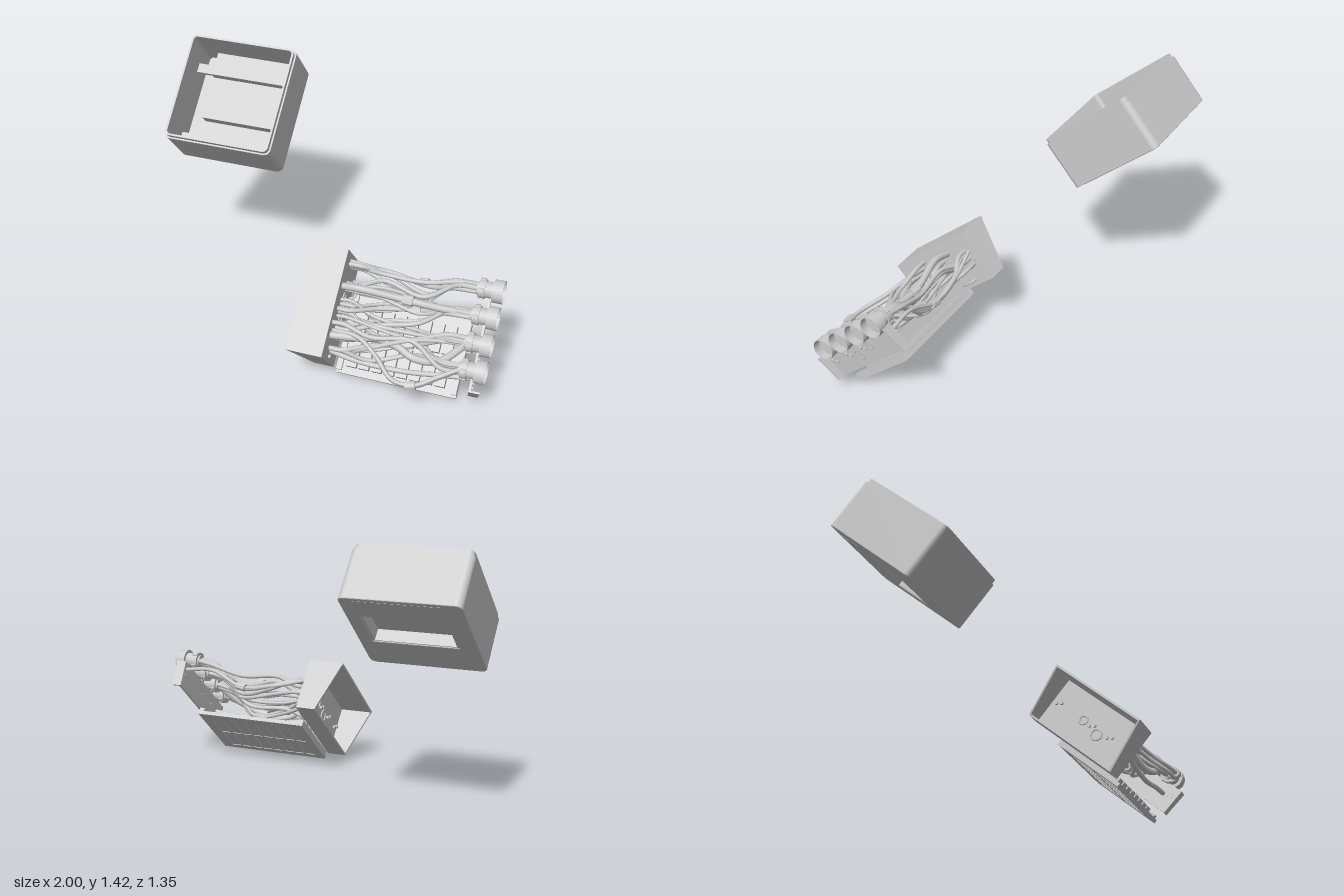
import * as THREE from 'three';

const mat = new THREE.MeshStandardMaterial({ color: 0xcccccc, side: THREE.DoubleSide });
const flat = new THREE.MeshStandardMaterial({ color: 0xcccccc, flatShading: true, side: THREE.DoubleSide });

function add(parent, name, geo, material = flat) {
  const m = new THREE.Mesh(geo, material);
  m.name = name;
  parent.add(m);
  return m;
}

const box = (x0, x1, y0, y1, z0, z1) =>
  new THREE.BoxGeometry(x1 - x0, y1 - y0, z1 - z0).translate((x0 + x1) / 2, (y0 + y1) / 2, (z0 + z1) / 2);

// Rounded rectangle outline
function roundRect(w, d, r, Type = THREE.Shape) {
  const s = new Type(), a = w / 2 - r, b = d / 2 - r;
  s.absarc(a, b, r, 0, Math.PI / 2);
  s.absarc(-a, b, r, Math.PI / 2, Math.PI);
  s.absarc(-a, -b, r, Math.PI, Math.PI * 1.5);
  s.absarc(a, -b, r, Math.PI * 1.5, Math.PI * 2);
  s.closePath();
  return s;
}

// Axis-aligned hole given by its limits
function rectHole(x0, x1, y0, y1) {
  const p = new THREE.Path();
  p.moveTo(x0, y0); p.lineTo(x0, y1); p.lineTo(x1, y1); p.lineTo(x1, y0); p.closePath();
  return p;
}

const poly = pts => new THREE.Shape(pts.map(p => new THREE.Vector2(...p)));
const extrude = (shape, depth, bevel = 0) => new THREE.ExtrudeGeometry(shape, {
  depth, curveSegments: 8, bevelEnabled: bevel > 0, bevelSize: bevel, bevelOffset: -bevel, bevelThickness: bevel, bevelSegments: 2,
});
// Extrude upwards from a plan outline
const slab = (shape, depth, x, y, z) => extrude(shape, depth).rotateX(-Math.PI / 2).translate(x, y, z);

function seeded(seed) {
  return () => (seed = (seed * 16807) % 2147483647) / 2147483647;
}

// Rounded housing, open on top
function createHousing() {
  const g = new THREE.Group();
  g.name = 'housing';
  const cx = -0.688, cz = -0.982, w = 0.624;

  const floor = roundRect(w, w, 0.035);
  floor.holes.push(rectHole(-0.212, 0.238, -0.092, 0.146));
  add(g, 'housingFloor', extrude(floor, 0.01, 0.005).rotateX(-Math.PI / 2).translate(cx, 0.455, cz));

  const wall = roundRect(w, w, 0.035);
  wall.holes.push(roundRect(0.584, 0.584, 0.022, THREE.Path));
  add(g, 'housingWall', slab(wall, 0.284, cx, 0.458, cz));
  const lip = roundRect(0.606, 0.606, 0.03);
  lip.holes.push(roundRect(0.584, 0.584, 0.022, THREE.Path));
  add(g, 'housingLip', slab(lip, 0.028, cx, 0.741, cz));

  // Raised hood over the window in the floor
  add(g, 'windowHood', box(-0.9, -0.45, 0.52, 0.53, -1.133, -0.885));
  for (const x of [-0.9, -0.46]) add(g, 'hoodSide', box(x, x + 0.01, 0.455, 0.53, -1.128, -0.89));
  for (const z of [-1.133, -0.895]) add(g, 'hoodEnd', box(-0.9, -0.45, 0.455, 0.53, z, z + 0.01));

  add(g, 'rearBlock', box(-0.9, -0.45, 0.449, 0.57, -1.27, -1.134));
  add(g, 'rearBar', box(-0.985, -0.395, 0.576, 0.6, -1.18, -1.126));
  add(g, 'frontBar', box(-0.985, -0.395, 0.535, 0.56, -0.772, -0.718));
  return g;
}

// Small ports and screws on an upright plate; each entry: [height, depth, radius, ring?]
function addPorts(parent, list, faceX, angle) {
  for (const [y, z, r, ring] of list) {
    const geo = ring ? new THREE.TorusGeometry(r, 0.005, 6, 20).rotateX(Math.PI / 2)
      : new THREE.CylinderGeometry(r, r, 0.022, 10);
    const m = add(parent, ring ? 'portRing' : 'screw', geo, ring ? mat : flat);
    m.position.set(faceX(y), y, z);
    m.rotation.z = angle;
  }
}

const screwPairs = depths => depths.flatMap(z => [-1, 1].map(s => [0.478 + s * 0.008, z + s * 0.013, 0.01, 0]));

// End shell: port plate facing the cables, tapered ends, top and bottom, open on the outer side
function createEndShell() {
  const g = new THREE.Group();
  g.name = 'endShell';
  add(g, 'shellTop', box(-0.047, 0.153, 0.614, 0.626, -0.278, 0.314));
  add(g, 'shellBottom', box(0.043, 0.153, 0.325, 0.335, -0.278, 0.314));
  add(g, 'portPlate', box(0.141, 0.153, 0.325, 0.626, -0.278, 0.314));
  for (const z of [-0.278, 0.304])
    add(g, 'shellEnd', extrude(poly([[-0.047, 0.626], [0.153, 0.626], [0.153, 0.325], [0.043, 0.325]]), 0.01).translate(0, 0, z));

  for (const x of [0.139, 0.155])
    addPorts(g, [[0.452, 0.07, 0.03, 1], [0.478, -0.045, 0.024, 1], ...screwPairs([0.143, 0.016, -0.228, 0.27])], () => x, Math.PI / 2);
  const handle = new THREE.CatmullRomCurve3([[0.145, -0.165], [0.178, -0.155], [0.178, -0.075], [0.145, -0.065]]
    .map(([x, z]) => new THREE.Vector3(x, 0.36, z)));
  add(g, 'handle', new THREE.TubeGeometry(handle, 16, 0.007, 6), mat);
  return g;
}

// Leaning plate below the connectors, with an end flap at each side
function createConnectorPlate() {
  const g = new THREE.Group();
  g.name = 'connectorPlate';
  add(g, 'plate', extrude(poly([[0.905, 0.38], [0.917, 0.38], [0.937, 0.54], [0.925, 0.54]]), 0.593).translate(0, 0, -0.28));
  for (const z of [-0.28, 0.303])
    add(g, 'endFlap', extrude(poly([[0.905, 0.38], [0.955, 0.38], [0.985, 0.54], [0.925, 0.54]]), 0.01).translate(0, 0, z));
  addPorts(g, [[0.452, 0.07, 0.03, 1], [0.478, -0.045, 0.024, 1], ...screwPairs([0.143, 0.016, -0.228, 0.27])],
    y => 0.915 + (y - 0.38) * 0.125, -1.695);
  return g;
}

// Round plug with a thin-walled hollow face
function createConnector(z) {
  const profile = [[0, 0.86], [0.035, 0.86], [0.035, 0.87], [0.05, 0.87], [0.05, 0.905], [0.043, 0.905], [0.043, 0.945],
    [0.061, 0.945], [0.061, 1], [0.059, 1], [0.059, 0.955], [0, 0.955]].map(p => new THREE.Vector2(...p));
  const g = new THREE.Group();
  g.name = 'connector';
  add(g, 'plug', new THREE.LatheGeometry(profile, 28).toNonIndexed().rotateZ(-Math.PI / 2));
  for (let i = 0; i < 4; i++)
    add(g, 'lug', box(0.872, 0.9, 0.044, 0.055, -0.012, 0.012).rotateX(i * Math.PI / 2 + 0.4));
  g.position.set(0, 0.577, z);
  return g;
}

// Board with two rows of slotted keys
function createKeyBoard() {
  const g = new THREE.Group();
  g.name = 'keyBoard';
  const plan = poly([[0.17, 0.1], [0.837, 0.1], [0.837, -0.335], [0.17, -0.335]]);
  for (const z of [0.04, 0.215])
    for (let i = 0; i < 8; i++) {
      const x = 0.25 + i * 0.07;
      plan.holes.push(rectHole(x - 0.029, x + 0.029, -z - 0.08, -z + 0.08));
      add(g, 'key', box(x - 0.028, x + 0.028, 0.298, 0.345, z - 0.079, z + 0.079));
    }
  add(g, 'board', slab(plan, 0.022, 0, 0.295, 0));
  for (const x of [0.17, 0.807]) add(g, 'sideRail', box(x, x + 0.03, 0.315, 0.335, -0.1, 0.32));
  return g;
}

// Cables swept through points, with an optional clamp at a fraction of the length
function addCable(parent, pts, r, clampAt) {
  const curve = new THREE.CatmullRomCurve3(pts.map(p => new THREE.Vector3(...p)));
  add(parent, 'cable', new THREE.TubeGeometry(curve, 36, r, 8), mat);
  if (clampAt === undefined) return;
  const m = add(parent, 'cableClamp', new THREE.CylinderGeometry(r + 0.012, r + 0.012, 0.055, 8));
  m.position.copy(curve.getPointAt(clampAt));
  m.quaternion.setFromUnitVectors(new THREE.Vector3(0, 1, 0), curve.getTangentAt(clampAt));
}

function createCables(plugZ) {
  const g = new THREE.Group();
  g.name = 'cables';
  const rnd = seeded(77), vary = a => (rnd() * 2 - 1) * a;
  plugZ.forEach((z, i) => {
    for (let k = 0; k < 6; k++) {
      const z0 = THREE.MathUtils.clamp(z + vary(0.24), -0.22, 0.24), y0 = 0.5 + vary(0.08);
      const dy = vary(0.015), dz = vary(0.02), mid = 0.47 + vary(0.06);
      addCable(g, [[0.145, y0, z0], [0.22, y0, z0], [0.36, mid + 0.02, z0 * 0.75 + z * 0.25 + vary(0.03)],
        [0.58, mid, (z0 * 0.35 + z * 0.65) * 0.85 + vary(0.04)], [0.76, 0.555 + dy, z + dz], [0.87, 0.577 + dy, z + dz]],
      0.009 + rnd() * 0.005, k === 0 && i > 0 ? 0.55 : undefined);
    }
  });
  // Heavy cables
  addCable(g, [[0.145, 0.555, 0.18], [0.27, 0.54, 0.165], [0.4, 0.515, 0.142], [0.5, 0.505, 0.155],
    [0.6, 0.495, 0.197], [0.74, 0.53, 0.19], [0.88, 0.577, 0.066]], 0.021);
  addCable(g, [[0.145, 0.56, -0.09], [0.25, 0.58, -0.09], [0.5, 0.53, -0.09], [0.7, 0.55, -0.08], [0.88, 0.577, -0.08]], 0.02, 0.5);
  // Loop that swings out past the front
  for (const d of [-0.012, 0.012])
    addCable(g, [[0.145, 0.53 + d, 0.15], [0.3, 0.55 + d, 0.16], [0.42, 0.55 + d, 0.24], [0.53, 0.56 + d, 0.34],
      [0.65, 0.565 + d, 0.345], [0.76, 0.57 + d, 0.28], [0.88, 0.577 + d, 0.206]], 0.012, d > 0 ? 0.66 : undefined);
  // Runs along the back and front edges to the plate
  addCable(g, [[0.145, 0.52, -0.24], [0.35, 0.46, -0.235], [0.55, 0.44, -0.22], [0.75, 0.51, -0.255], [0.925, 0.5, -0.25]], 0.011, 0.52);
  addCable(g, [[0.145, 0.48, 0.25], [0.3, 0.45, 0.27], [0.55, 0.44, 0.27], [0.75, 0.46, 0.25], [0.92, 0.47, 0.23]], 0.014);
  return g;
}

export function createModel() {
  const root = new THREE.Group();
  root.name = 'openedConsole';
  const tilted = new THREE.Group();
  tilted.name = 'tiltedAssembly';
  tilted.rotation.x = 0.715;
  const plugZ = [0.206, 0.066, -0.08, -0.222];
  tilted.add(createHousing(), createEndShell(), createConnectorPlate(), createKeyBoard(), createCables(plugZ));
  plugZ.forEach(z => tilted.add(createConnector(z)));
  root.add(tilted);
  return root;
}
